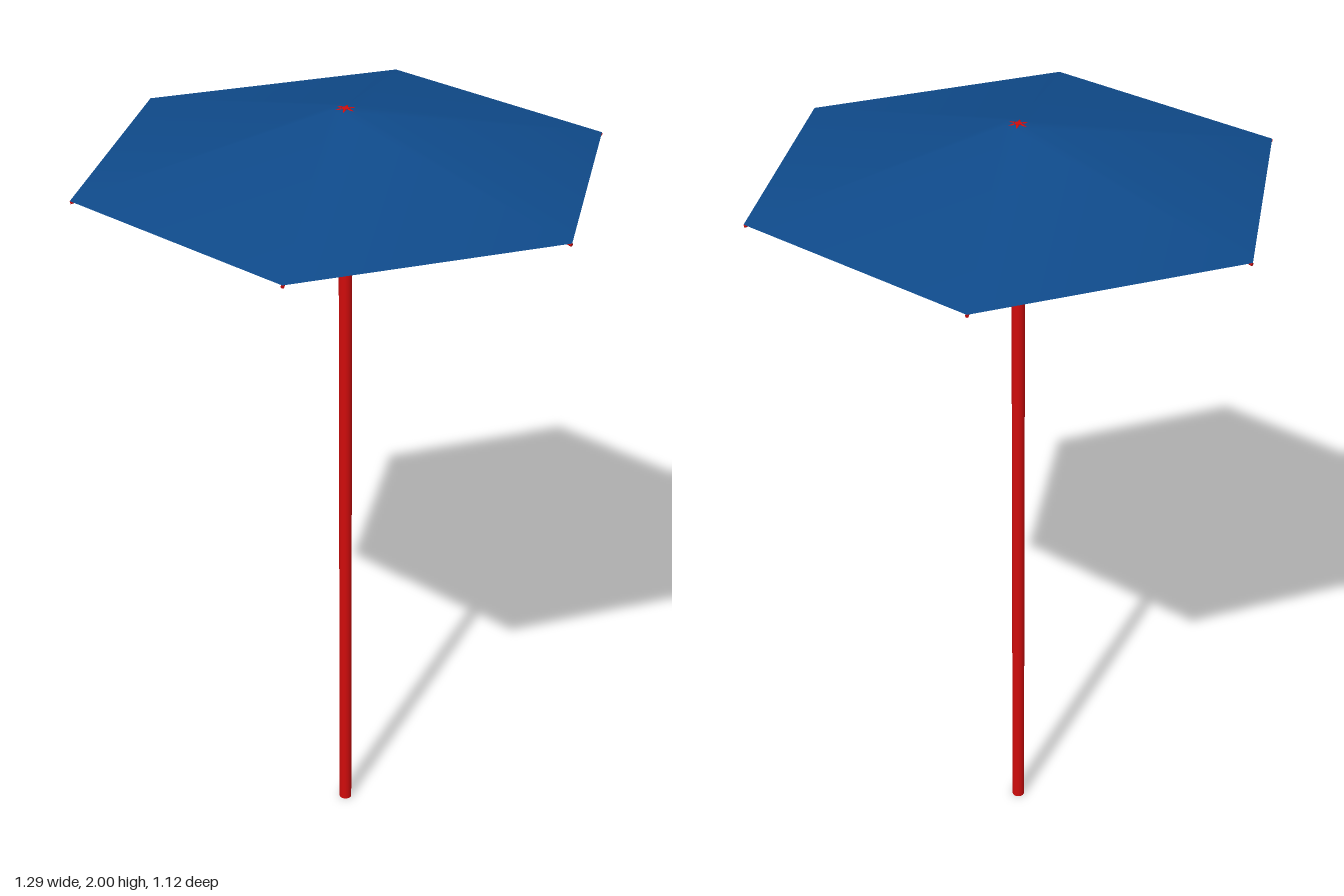
import * as THREE from 'three';

const SIDES = 6;

export function createModel() {
  const group = new THREE.Group();
  const red = new THREE.MeshStandardMaterial({ color: 0xd00c0c });
  const blue = new THREE.MeshStandardMaterial({ color: 0x0f4a8a, side: THREE.DoubleSide });

  const add = (name, geometry, material) => {
    const mesh = new THREE.Mesh(geometry, material);
    mesh.name = name;
    group.add(mesh);
    return mesh;
  };

  // Pole, with a small tip showing through the canopy
  add('pole', new THREE.CylinderGeometry(0.016, 0.016, 1.985, 16), red).position.y = 0.9925;
  add('poleTip', new THREE.CylinderGeometry(0.009, 0.009, 0.02, 12), red).position.y = 1.99;

  // Six-sided canopy: a shallow slope with a small flat crown
  const profile = [[0.645, 1.86], [0.034, 1.997], [0.008, 1.999]]
    .map(([r, y]) => new THREE.Vector2(r, y));
  add('canopy', new THREE.LatheGeometry(profile, SIDES, Math.PI / 2), blue);

  // Thin ribs running under each fold of the canopy
  const inner = new THREE.Vector2(0.01, 1.997);
  const outer = new THREE.Vector2(0.644, 1.856);
  const run = outer.clone().sub(inner);
  for (let i = 0; i < SIDES; i++) {
    const geometry = new THREE.CylinderGeometry(0.004, 0.004, run.length(), 8);
    geometry.rotateZ(run.angle() - Math.PI / 2);
    geometry.translate((inner.x + outer.x) / 2, (inner.y + outer.y) / 2, 0);
    add('rib', geometry, red).rotation.y = (i / SIDES) * Math.PI * 2;
  }

  return group;
}
